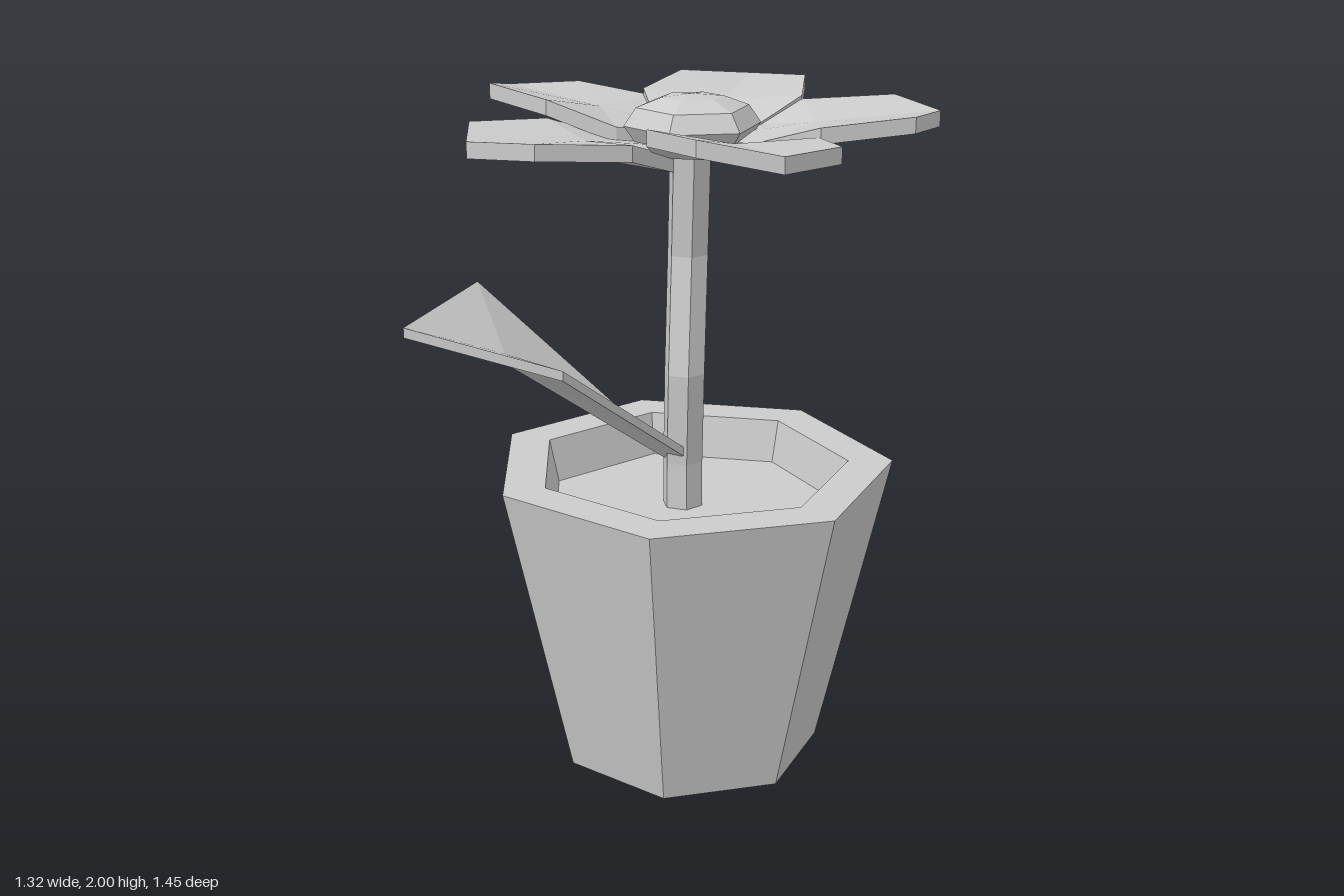
import * as THREE from 'three';

const material = new THREE.MeshStandardMaterial({ color: 0xcccccc, flatShading: true });

function part(name, geometry, x = 0, y = 0, z = 0) {
  geometry.computeVertexNormals();
  const mesh = new THREE.Mesh(geometry, material);
  mesh.name = name;
  mesh.position.set(x, y, z);
  return mesh;
}

function faceted(profile, sides) {
  return new THREE.LatheGeometry(profile.map(([r, y]) => new THREE.Vector2(r, y)), sides, Math.PI / 2);
}

// Thin plate: an outline fanned around a middle point, with a copy below and a rim
function plate(outline, middle, thickness) {
  const pos = [];
  const low = ([x, y, z]) => [x, y - thickness, z];
  const tri = (...corners) => corners.forEach((c) => pos.push(...c));
  outline.forEach((a, i) => {
    const b = outline[(i + 1) % outline.length];
    tri(middle, b, a);
    tri(low(middle), low(a), low(b));
    tri(a, b, low(b));
    tri(a, low(b), low(a));
  });
  const g = new THREE.BufferGeometry();
  g.setAttribute('position', new THREE.Float32BufferAttribute(pos, 3));
  return g;
}

// Hexagonal stem whose rings follow a gently bent line
function stemGeometry() {
  const line = [[0, 0.77, -0.12], [0, 0.92, -0.12], [0.025, 1.2, -0.103], [-0.01, 1.54, -0.143], [0.025, 1.88, -0.12]];
  const g = new THREE.CylinderGeometry(0.061, 0.061, 1, 6, line.length - 1);
  const p = g.attributes.position;
  for (let i = 0; i < p.count; i++) {
    const [x, y, z] = line[Math.round((p.getY(i) + 0.5) * (line.length - 1))];
    p.setXYZ(i, p.getX(i) + x, y, p.getZ(i) + z);
  }
  return g;
}

// Cupped petal pointing along +x; roll lifts one side
function petalGeometry(roll) {
  const half = [[0.15, 1.885, 0.15], [0.33, 1.945, 0.24], [0.59, 1.965, 0.195]];
  const outline = [
    [0.06, 1.88, 0],
    ...half.map(([x, y, z]) => [x, y, -z]),
    [0.69, 1.95, 0],
    ...half.slice().reverse(),
  ].map(([x, y, z]) => [x, y + roll * z, z]);
  return plate(outline, [0.34, 1.92, 0], 0.045);
}

export function createModel() {
  const model = new THREE.Group();
  model.name = 'pottedFlower';

  // Seven-sided pot, with the soil closing the inside
  const pot = faceted([[0, 0], [0.397, 0], [0.602, 0.91], [0.47, 0.91], [0.44, 0.78], [0, 0.78]], 7);
  model.add(part('pot', pot, 0.015, 0, -0.137));

  model.add(part('stem', stemGeometry()));

  // Leaf folded down along its midrib
  const leafEdge = [
    [-0.03, 0.95, -0.08], [0.05, 0.98, -0.08],
    [0.175, 1.35, 0.45], [-0.16, 1.445, 0.725], [-0.37, 1.465, 0.34],
  ];
  model.add(part('leaf', plate(leafEdge, [-0.13, 1.32, 0.42], 0.028)));

  // Flower head: five petals around a squashed dome
  const flower = new THREE.Group();
  flower.name = 'flower';
  flower.position.set(0.022, 0, -0.13);
  const petals = [[22, 0.1, 0], [99.5, 0, -0.02], [169, -0.1, 0.01], [236, 0, 0.01], [308.5, 0, 0]];
  petals.forEach(([angle, roll, lift], i) => {
    const petal = part('petal' + (i + 1), petalGeometry(roll), 0, lift, 0);
    petal.rotation.y = -THREE.MathUtils.degToRad(angle);
    flower.add(petal);
  });
  const dome = faceted([[0, -0.085], [0.09, -0.078], [0.16, -0.05], [0.195, 0], [0.16, 0.05], [0.09, 0.076], [0, 0.085]], 6);
  flower.add(part('flowerCentre', dome, 0, 1.915, 0));
  model.add(flower);

  return model;
}
